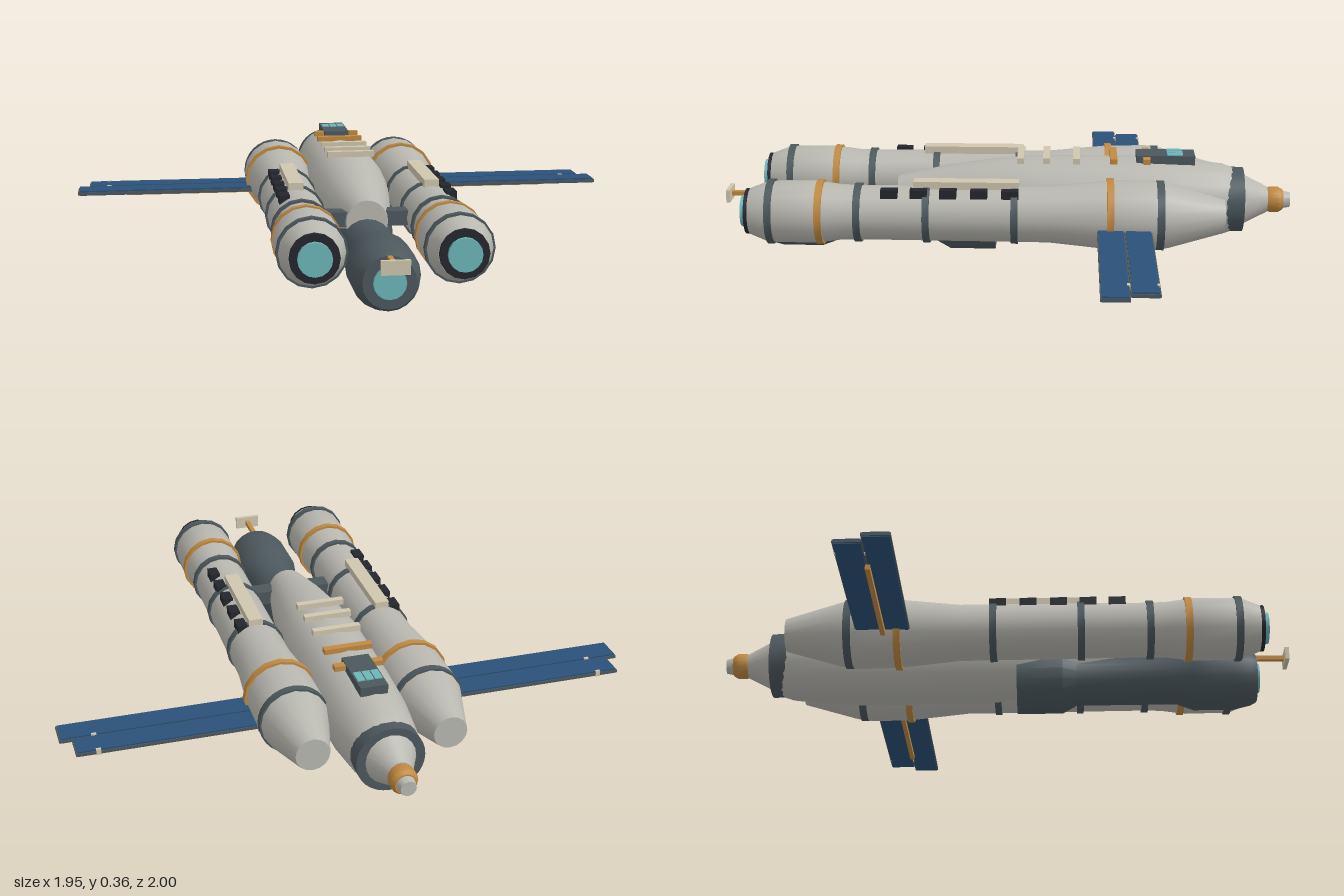
import * as THREE from 'three';
import { toCreasedNormals } from 'three/addons/utils/BufferGeometryUtils.js';

const paint = (name, color) => {
  const m = new THREE.MeshStandardMaterial({ color });
  m.name = name;
  return m;
};

export function createModel() {
  const hullGrey = paint('hull grey', 0xb8b7b0);
  const slate = paint('slate', 0x4c585d);
  const orange = paint('orange', 0xc08a42);
  const cream = paint('cream', 0xcfc6ae);
  const blue = paint('panel blue', 0x2a5078);
  const teal = paint('glass teal', 0x6cb6b8);
  const black = paint('black', 0x24262d);

  const model = new THREE.Group();
  model.name = 'spaceStation';

  const add = (parent, name, geometry, material, x = 0, y = 0, z = 0) => {
    const mesh = new THREE.Mesh(geometry, material);
    mesh.name = name;
    mesh.position.set(x, y, z);
    parent.add(mesh);
    return mesh;
  };
  const box = (parent, name, material, w, h, d, x, y, z) =>
    add(parent, name, new THREE.BoxGeometry(w, h, d), material, x, y, z);
  // Turned body along z; profile is [z, radius] from back to front
  const turned = (profile, sides = 16) => {
    const pts = profile.map(([z, r]) => new THREE.Vector2(r, z));
    pts.unshift(new THREE.Vector2(0, profile[0][0]));
    pts.push(new THREE.Vector2(0, profile[profile.length - 1][0]));
    return toCreasedNormals(new THREE.LatheGeometry(pts, sides).rotateX(Math.PI / 2), 0.55);
  };
  const ring = (parent, name, material, z, r, length, sides = 16) =>
    add(parent, name, turned([[z - length / 2, r], [z + length / 2, r]], sides), material);

  // Central hull, slightly taller than wide
  const hull = new THREE.Group();
  hull.name = 'centralHull';
  hull.position.y = 0.196;
  model.add(hull);
  const body = add(hull, 'hullBody', turned([
    [-0.92, 0.042], [-0.83, 0.085], [-0.8, 0.105], [-0.76, 0.118], [-0.6, 0.136], [-0.45, 0.14],
    [-0.1, 0.14], [0.05, 0.127], [0.2, 0.106], [0.385, 0.07]], 20), hullGrey);
  body.scale.y = 1.07;
  ring(hull, 'noseCollar', slate, -0.8, 0.114, 0.065, 32);
  add(hull, 'noseFitting', turned([[-0.975, 0.036], [-0.96, 0.045], [-0.93, 0.045], [-0.915, 0.04]]), orange);
  add(hull, 'noseTip', turned([[-1, 0.026], [-0.97, 0.032]]), hullGrey);

  // Cross bars and hatch on the roof
  for (const z of [-0.49, -0.375]) box(model, 'roofHandrail', orange, 0.166, 0.018, 0.025, 0, 0.35, z);
  for (const z of [-0.245, -0.14, -0.05]) box(model, 'roofBar', cream, 0.166, 0.02, 0.024, 0, 0.35, z);
  box(model, 'roofHatch', slate, 0.092, 0.032, 0.205, 0, 0.347, -0.557);
  for (const x of [-0.029, 0, 0.029]) box(model, 'hatchWindow', teal, 0.025, 0.005, 0.055, x, 0.364, -0.59);

  // Lower core module
  const core = new THREE.Group();
  core.name = 'coreModule';
  core.position.y = 0.12;
  model.add(core);
  add(core, 'coreBody', turned([
    [0.04, 0.115], [0.2, 0.115], [0.25, 0.088], [0.6, 0.088], [0.66, 0.11],
    [0.8, 0.11], [0.86, 0.096], [0.88, 0.085]], 20), slate);
  ring(core, 'coreWindow', teal, 0.882, 0.052, 0.018);
  box(model, 'podCrossBeam', slate, 0.29, 0.05, 0.065, 0, 0.205, 0.34);

  // Docking probe
  box(model, 'probeRod', orange, 0.016, 0.016, 0.13, 0, 0.197, 0.925);
  box(model, 'probeMount', slate, 0.03, 0.04, 0.03, 0, 0.185, 0.865);
  box(model, 'probePlate', cream, 0.09, 0.045, 0.014, 0, 0.197, 0.993);

  // Mirrored side pods with solar wings
  for (const side of [-1, 1]) {
    const pod = new THREE.Group();
    pod.name = side > 0 ? 'leftPod' : 'rightPod';
    pod.position.set(side * 0.23, 0.204, 0);
    model.add(pod);
    add(pod, 'podBody', turned([
      [-0.75, 0.057], [-0.56, 0.111], [-0.5, 0.12], [-0.36, 0.118], [-0.15, 0.097], [0.5, 0.094],
      [0.56, 0.096], [0.65, 0.108], [0.81, 0.106], [0.875, 0.08]]), hullGrey);
    for (const [z, r] of [[-0.035, 0.103], [0.265, 0.102], [0.5, 0.102], [0.8, 0.112]])
      ring(pod, 'darkBand', slate, z, r, 0.024);
    ring(pod, 'shoulderBand', slate, -0.53, 0.119, 0.026, 32);
    ring(pod, 'rearOrangeBand', orange, -0.36, 0.126, 0.024);
    ring(pod, 'frontOrangeBand', orange, 0.63, 0.112, 0.024);
    ring(pod, 'endCap', black, 0.877, 0.079, 0.022);
    ring(pod, 'endWindow', teal, 0.893, 0.054, 0.022);

    // Roof strip and row of small boxes
    box(pod, 'podRoofStrip', cream, 0.05, 0.03, 0.36, 0, 0.102, 0.13);
    for (const z of [-0.02, 0.085, 0.19, 0.29, 0.39])
      box(pod, 'equipmentBox', black, 0.035, 0.03, 0.058, side * 0.048, 0.083, z);

    // Two-strip solar wing on an orange spar
    const wing = new THREE.Group();
    wing.name = side > 0 ? 'leftSolarWing' : 'rightSolarWing';
    model.add(wing);
    for (const [tip, z] of [[0.977, -0.361], [0.937, -0.454]]) {
      const w = tip - 0.3, x = side * (tip + 0.3) / 2;
      box(wing, 'panelFrame', slate, w, 0.01, 0.092, x, 0.174, z);
      box(wing, 'solarPanel', blue, w - 0.01, 0.018, 0.084, x, 0.175, z);
      box(wing, 'panelClip', cream, 0.016, 0.02, 0.01, side * 0.865, 0.176, z - 0.042);
    }
    box(wing, 'wingSpar', orange, 0.5, 0.018, 0.016, side * 0.55, 0.157, -0.405);
  }
  return model;
}
